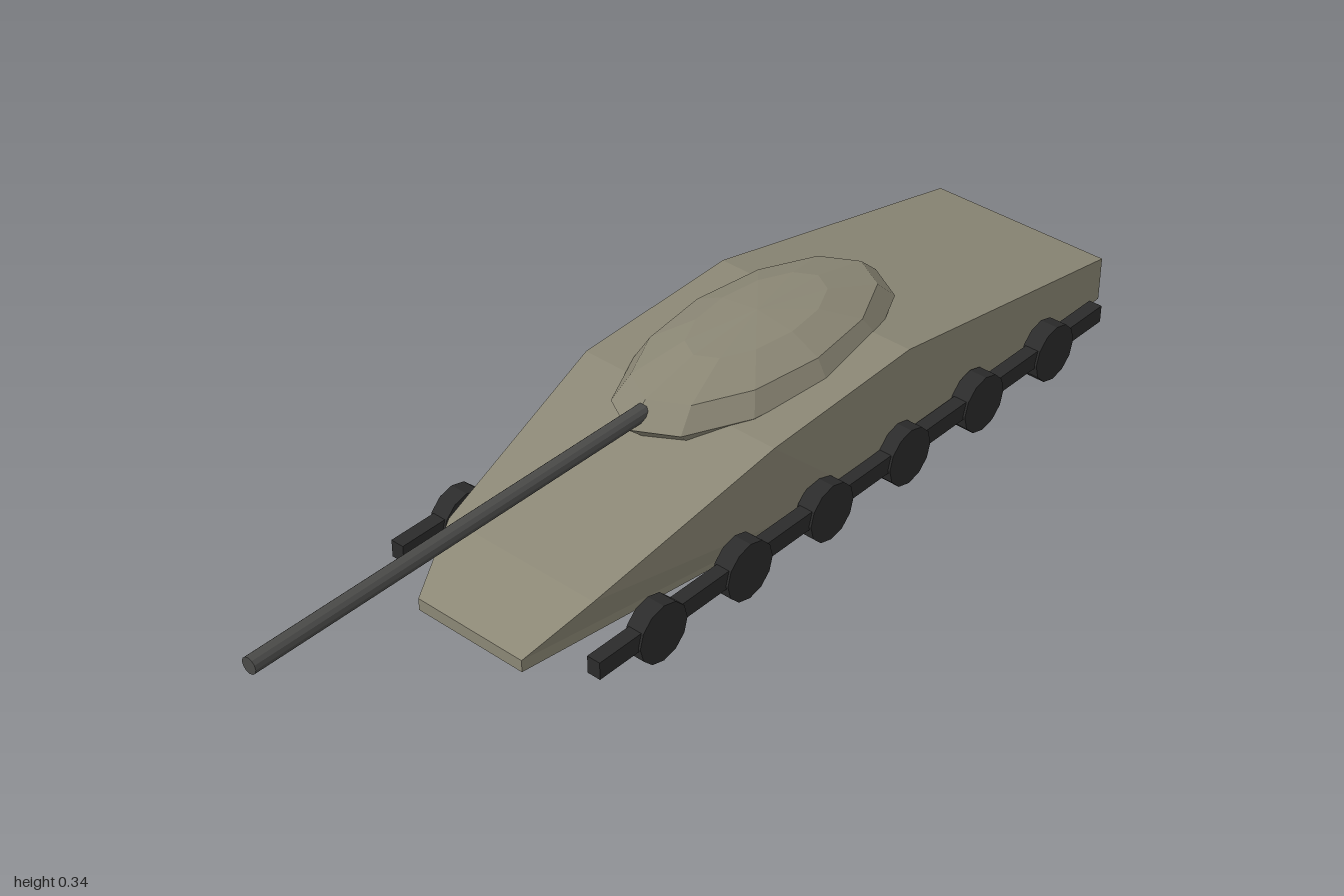
import * as THREE from 'three';

const paint = (color) => new THREE.MeshStandardMaterial({ color, flatShading: true });

// Hull: a closed side profile [half width, y, z], joined across to its mirror image
function hullGeometry() {
  const ring = [
    [0.22, 0.035, -0.23],   // belly
    [0.122, 0.035, 0.535],  // nose, lower edge
    [0.122, 0.06, 0.535],   // nose, upper edge
    [0.17, 0.135, 0.41],    // glacis break
    [0.22, 0.255, 0.01],    // front of deck
    [0.22, 0.27, -0.36],    // rear of deck
    [0.197, 0.145, -1],     // tail, upper edge
    [0.197, 0.053, -1],     // tail, lower edge
  ];
  const mirror = ([x, y, z]) => [-x, y, z];
  const pos = [];
  const tri = (a, b, c) => pos.push(...a, ...b, ...c);
  ring.forEach((a, i) => {
    const b = ring[(i + 1) % ring.length];
    // strip across the hull
    tri(a, b, mirror(b));
    tri(a, mirror(b), mirror(a));
    // side walls fan out from the belly corner
    if (i > 0 && i < ring.length - 1) {
      tri(ring[0], b, a);
      tri(mirror(ring[0]), mirror(a), mirror(b));
    }
  });
  const geo = new THREE.BufferGeometry();
  geo.setAttribute('position', new THREE.Float32BufferAttribute(pos, 3));
  geo.computeVertexNormals();
  return geo;
}

export function createModel() {
  const model = new THREE.Group();
  const armour = paint(0x8b8775);
  const steel = paint(0x4a4a48);
  const rubber = paint(0x2b2b2b);

  const add = (parent, name, geo, mat, x = 0, y = 0, z = 0) => {
    const mesh = new THREE.Mesh(geo, mat);
    mesh.name = name;
    mesh.position.set(x, y, z);
    parent.add(mesh);
    return mesh;
  };

  add(model, 'hull', hullGeometry(), armour);

  // Turret: faceted, stretched dome
  const dome = new THREE.SphereGeometry(1, 12, 6).scale(0.163, 0.08, 0.34);
  add(model, 'turret', dome, armour, 0, 0.258, -0.2);

  // Gun barrel
  const barrel = new THREE.CylinderGeometry(0.016, 0.016, 0.96, 12).rotateX(Math.PI / 2);
  add(model, 'gunBarrel', barrel, steel, 0, 0.276, 0.52);

  // Running gear on both sides
  const wheel = new THREE.CylinderGeometry(0.059, 0.059, 0.037, 12).rotateZ(Math.PI / 2);
  const beam = new THREE.BoxGeometry(0.028, 0.036, 1.415);
  for (const side of [1, -1]) {
    const gear = new THREE.Group();
    gear.name = side > 0 ? 'leftRunningGear' : 'rightRunningGear';
    add(gear, 'trackBeam', beam, rubber, side * 0.2315, 0.07, -0.23);
    for (let i = 0; i < 6; i++) {
      add(gear, 'roadWheel', wheel, rubber, side * 0.2315, 0.059, 0.325 - i * 0.2215);
    }
    model.add(gear);
  }
  return model;
}
